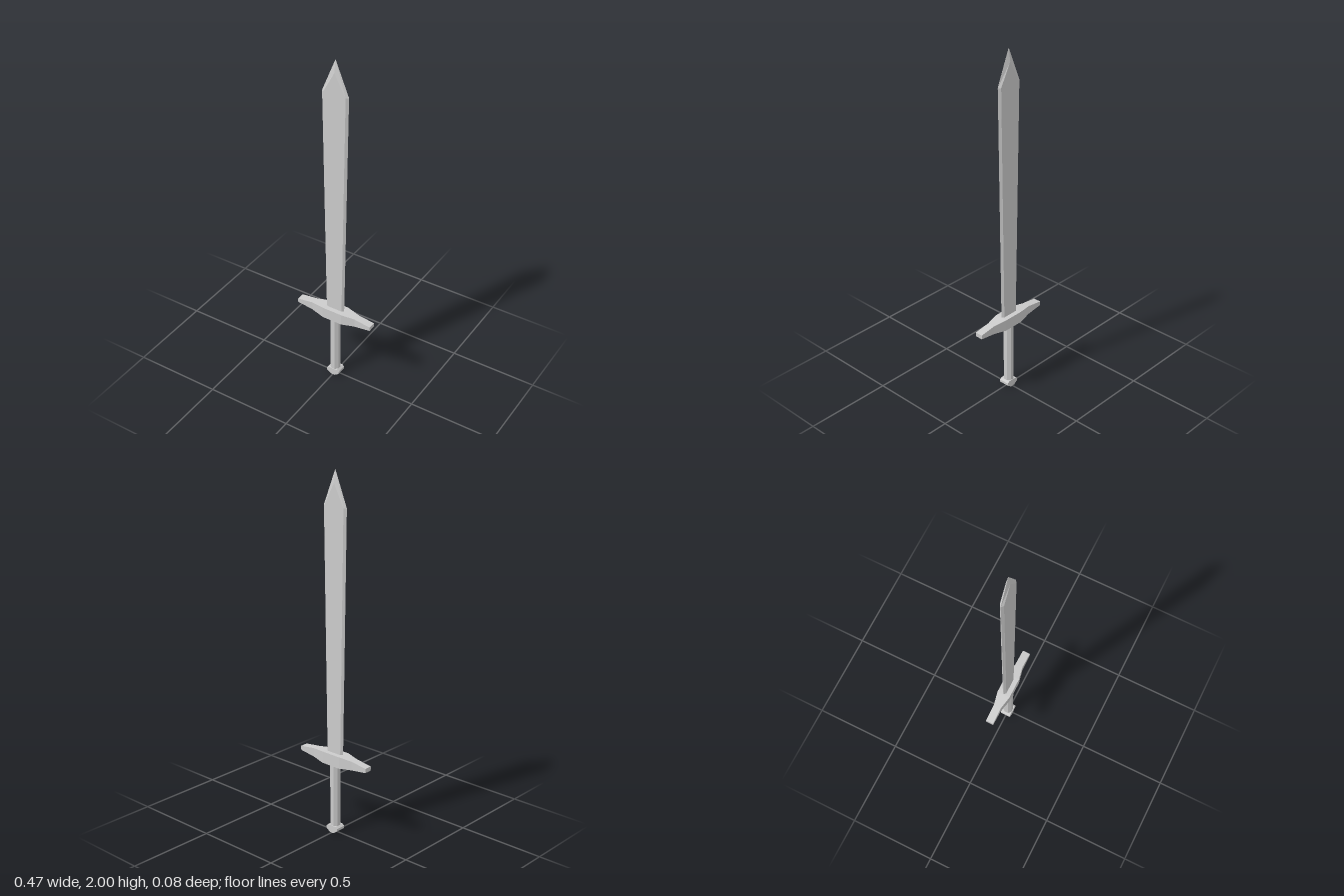
import * as THREE from 'three';

const material = new THREE.MeshStandardMaterial({ color: 0xcccccc, flatShading: true });

function addMesh(group, name, geometry) {
  const mesh = new THREE.Mesh(geometry, material);
  mesh.name = name;
  group.add(mesh);
  return mesh;
}

// Builds a flat-faced solid from convex polygons listed counter-clockwise from outside.
function fromPolygons(polygons) {
  const pos = [];
  for (const p of polygons)
    for (let i = 1; i < p.length - 1; i++) pos.push(...p[0], ...p[i], ...p[i + 1]);
  const geometry = new THREE.BufferGeometry();
  geometry.setAttribute('position', new THREE.Float32BufferAttribute(pos, 3));
  geometry.computeVertexNormals();
  return geometry;
}

// Joins equal-sized rings (counter-clockwise seen from the last ring) and caps both ends.
function loft(rings, capEnd = true) {
  const polygons = [[...rings[0]].reverse()];
  if (capEnd) polygons.push(rings[rings.length - 1]);
  for (let r = 0; r < rings.length - 1; r++) {
    const a = rings[r], b = rings[r + 1], n = a.length;
    for (let i = 0; i < n; i++) {
      const j = (i + 1) % n;
      polygons.push([a[i], a[j], b[j], b[i]]);
    }
  }
  return polygons;
}

function bladeGeometry() {
  const t = 0.011;
  // Hexagonal section: sharp edges left and right, flats front and back
  const ring = (y, edge, flat) => [
    [edge, y, 0], [flat, y, -t], [-flat, y, -t],
    [-edge, y, 0], [-flat, y, t], [flat, y, t],
  ];
  const top = ring(1.81, 0.078, 0.065);
  const polygons = loft([ring(0.44, 0.056, 0.045), top], false);

  // Point: each flat ends in a triangle, bevels run on to the tip
  const tip = [0, 2, 0], back = [0, 1.93, -t], front = [0, 1.93, t];
  const [right, backRight, backLeft, left, frontLeft, frontRight] = top;
  polygons.push(
    [frontLeft, frontRight, front], [backRight, backLeft, back],
    [frontRight, right, tip, front], [left, frontLeft, front, tip],
    [right, backRight, back, tip], [backLeft, left, tip, back],
  );
  return fromPolygons(polygons);
}

function guardGeometry() {
  // x, half height, half depth
  const half = [[0.06, 0.033, 0.038], [0.137, 0.025, 0.022], [0.233, 0.012, 0.022]];
  const stations = [...half.map(([x, h, d]) => [-x, h, d]).reverse(), ...half];
  const rings = stations.map(([x, h, d]) => [
    [x, 0.435 - h, -d], [x, 0.435 + h, -d], [x, 0.435 + h, d], [x, 0.435 - h, d],
  ]);
  return fromPolygons(loft(rings));
}

function pommelGeometry() {
  const side = [[0.014, 0], [0.026, 0.01], [0.038, 0.018], [0.038, 0.032], [0.027, 0.042]];
  const outline = [...side, ...side.map(([x, y]) => [-x, y]).reverse()];
  const shape = new THREE.Shape(outline.map(([x, y]) => new THREE.Vector2(x, y)));
  return new THREE.ExtrudeGeometry(shape, { depth: 0.06, bevelEnabled: false }).translate(0, 0, -0.03);
}

export function createModel() {
  const sword = new THREE.Group();
  sword.name = 'sword';

  addMesh(sword, 'blade', bladeGeometry());
  addMesh(sword, 'crossguard', guardGeometry());

  // Octagonal grip with flats facing the axes
  const radius = 0.027 / Math.cos(Math.PI / 8);
  const grip = addMesh(sword, 'grip', new THREE.CylinderGeometry(radius, radius, 0.38, 8));
  grip.rotation.y = Math.PI / 8;
  grip.position.y = 0.22;

  addMesh(sword, 'pommel', pommelGeometry());
  return sword;
}
